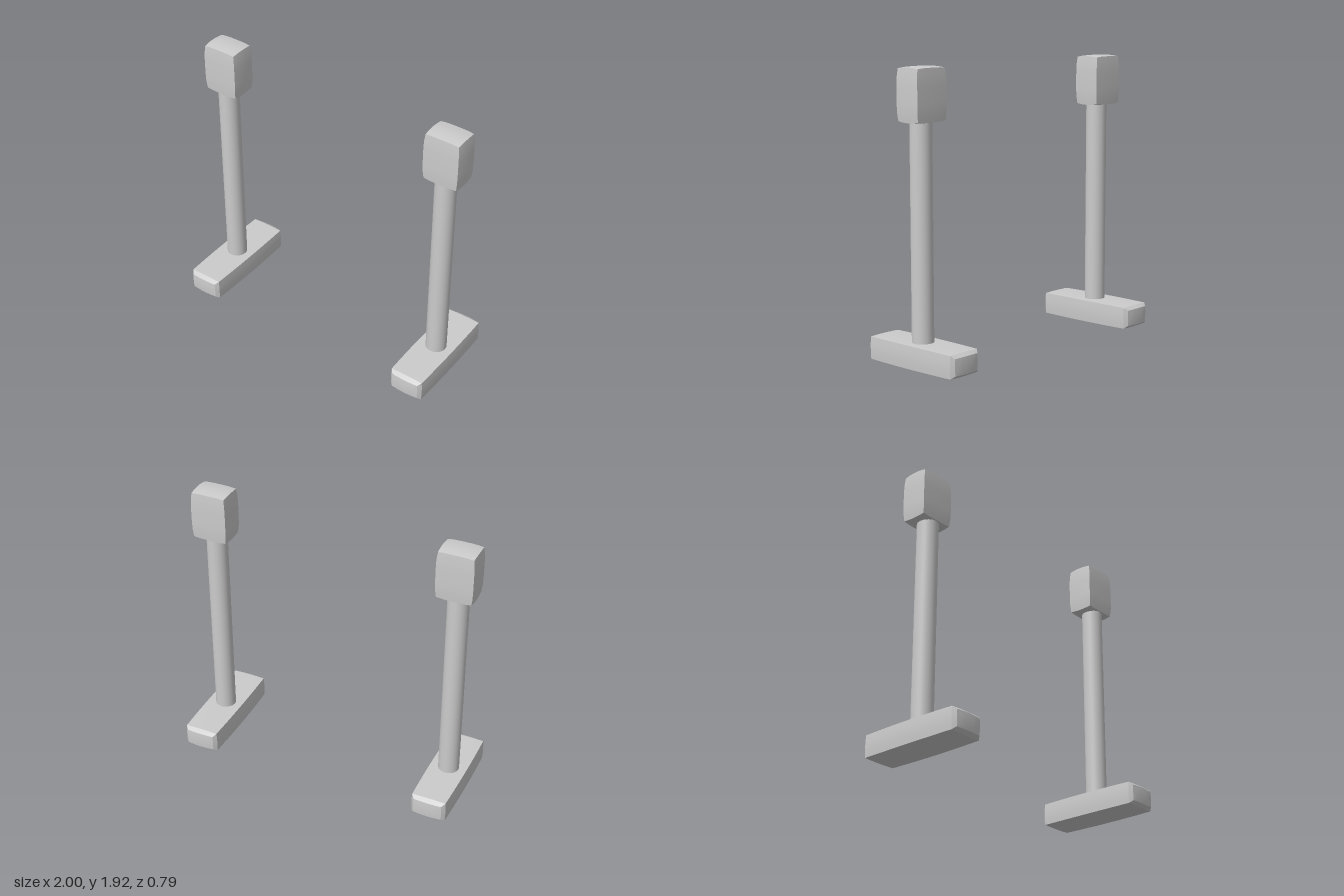
import * as THREE from 'three';
import { toCreasedNormals } from 'three/addons/utils/BufferGeometryUtils.js';

const material = new THREE.MeshStandardMaterial({ color: 0xcccccc });

// Box whose unit coordinates (-1..1) are reshaped by a rule, then scaled to size
function shapedBox(name, size, segments, rule) {
  const geometry = new THREE.BoxGeometry(2, 2, 2, ...segments);
  const p = geometry.attributes.position;
  const v = new THREE.Vector3();
  for (let i = 0; i < p.count; i++) {
    rule(v.fromBufferAttribute(p, i));
    p.setXYZ(i, v.x * size[0] / 2, v.y * size[1] / 2, v.z * size[2] / 2);
  }
  const mesh = new THREE.Mesh(toCreasedNormals(geometry, Math.PI / 6), material);
  mesh.name = name;
  return mesh;
}

// Long foot: gently bowed sides, bevelled ends
function makeFoot() {
  const foot = shapedBox('foot', [0.26, 0.16, 0.79], [6, 4, 8], (v) => {
    const { x, y, z } = v;
    const end = Math.abs(z) > 0.99;
    const rim = Math.max(Math.abs(x), Math.abs(y)) > 0.99;
    v.z = Math.sign(z) * (end ? 1 - 0.015 * x * x - (rim ? 0.006 : 0) : Math.abs(z) / 0.75 * 0.92);
    v.x = x * (end ? 0.78 : 1 - 0.06 * v.z * v.z) * (1 - 0.03 * y * y);
    v.y = y * (end ? 0.72 : 1 - 0.03 * v.z * v.z) * (1 - 0.04 * x * x);
  });
  foot.position.y = 0.085;
  return foot;
}

// Upright head: pillowed block with a domed top and bottom
function makeHead() {
  const head = shapedBox('head', [0.26, 0.355, 0.19], [6, 6, 6], (v) => {
    const { x, y, z } = v;
    v.x = x * (1 - 0.06 * y ** 4 - 0.025 * z * z);
    v.y = y * (1 - 0.045 * z * z - 0.03 * x ** 4);
    v.z = z * (1 - 0.06 * y ** 4 - 0.02 * x * x);
  });
  head.position.set(0, 1.75, -0.01);
  return head;
}

function makePost() {
  const post = new THREE.Mesh(new THREE.CylinderGeometry(0.072, 0.072, 1.5, 32), material);
  post.name = 'post';
  post.position.y = 0.85;
  return post;
}

export function createModel() {
  const model = new THREE.Group();
  model.name = 'pairOfPosts';
  for (const side of [-1, 1]) {
    const stand = new THREE.Group();
    stand.name = side > 0 ? 'leftStand' : 'rightStand';
    stand.position.x = side * 0.87;
    stand.add(makeFoot(), makePost(), makeHead());
    model.add(stand);
  }
  return model;
}
